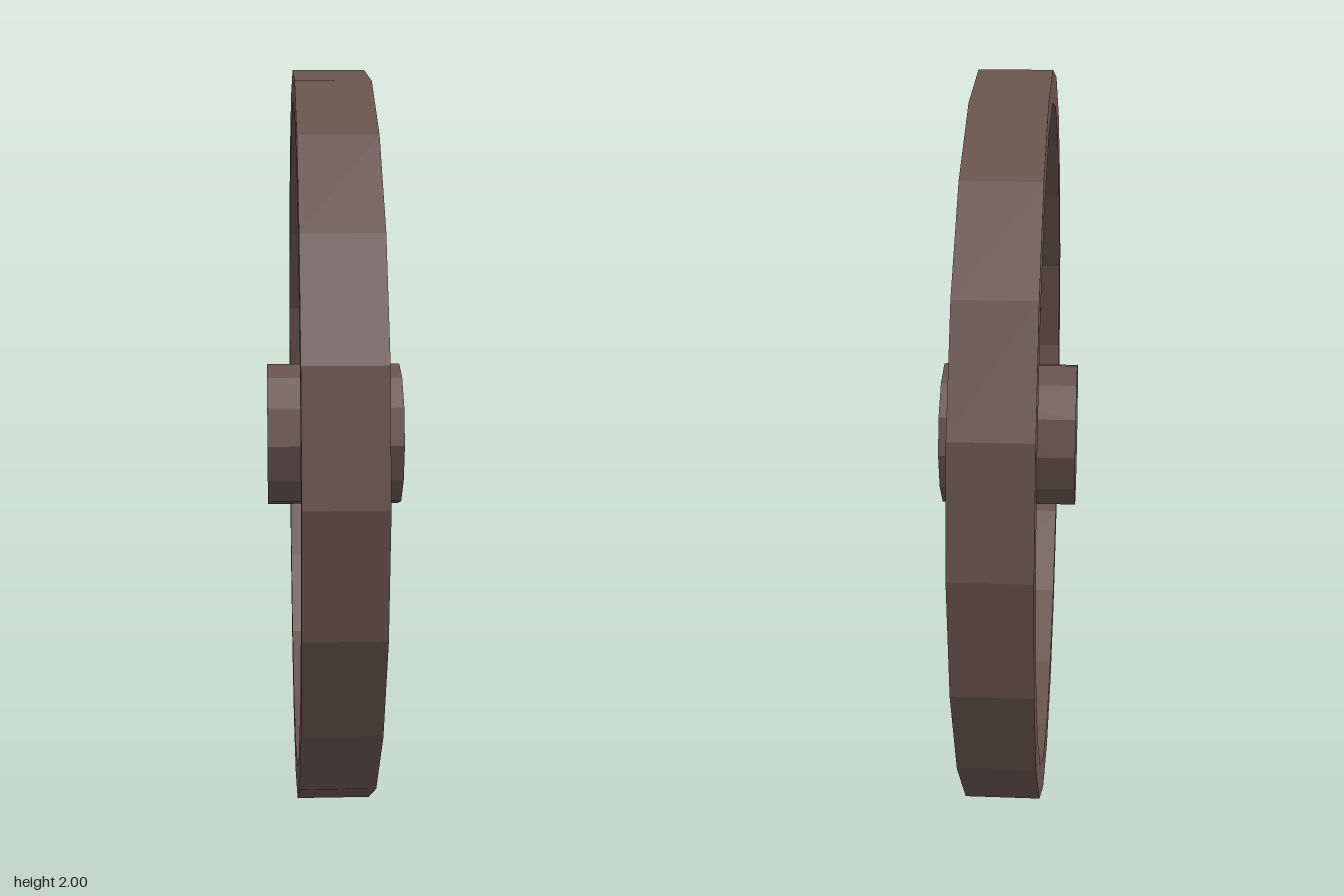
import * as THREE from 'three';

export function createModel() {
  const model = new THREE.Group();
  const wood = new THREE.MeshStandardMaterial({ color: 0x69544d, flatShading: true });
  wood.name = 'dark wood';

  const add = (name, geometry, parent) => {
    const mesh = new THREE.Mesh(geometry, wood);
    mesh.name = name;
    parent.add(mesh);
    return mesh;
  };

  // Wheel parts turn about the x axis through the hub centre
  const wheel = new THREE.Group();
  wheel.name = 'wheel';
  wheel.position.y = 1;
  model.add(wheel);

  // Rim: 20-sided band with a rectangular section
  const inner = 0.915, outer = 1, half = 0.097, rimX = -0.013;
  const section = [[inner, -half], [outer, -half], [outer, half], [inner, half], [inner, -half]]
    .map(([r, h]) => new THREE.Vector2(r, h));
  const rim = add('rim', new THREE.LatheGeometry(section, 20), wheel);
  rim.rotation.z = Math.PI / 2;
  rim.position.x = rimX;

  // Hub: 12-sided drum, wider than the rim
  const hub = add('hub', new THREE.CylinderGeometry(0.2, 0.2, 0.37, 12), wheel);
  hub.rotation.z = Math.PI / 2;

  // Nine square spokes set edge-on, each slightly off the radial line
  const spokeGeometry = new THREE.CylinderGeometry(0.036, 0.036, 0.76, 4);
  for (let i = 0; i < 9; i++) {
    const arm = new THREE.Group();
    arm.name = 'spokeArm';
    arm.rotation.x = (i * Math.PI * 2) / 9;
    wheel.add(arm);
    add('spoke', spokeGeometry, arm).position.set(rimX, 0.54, 0.018);
  }

  return model;
}
